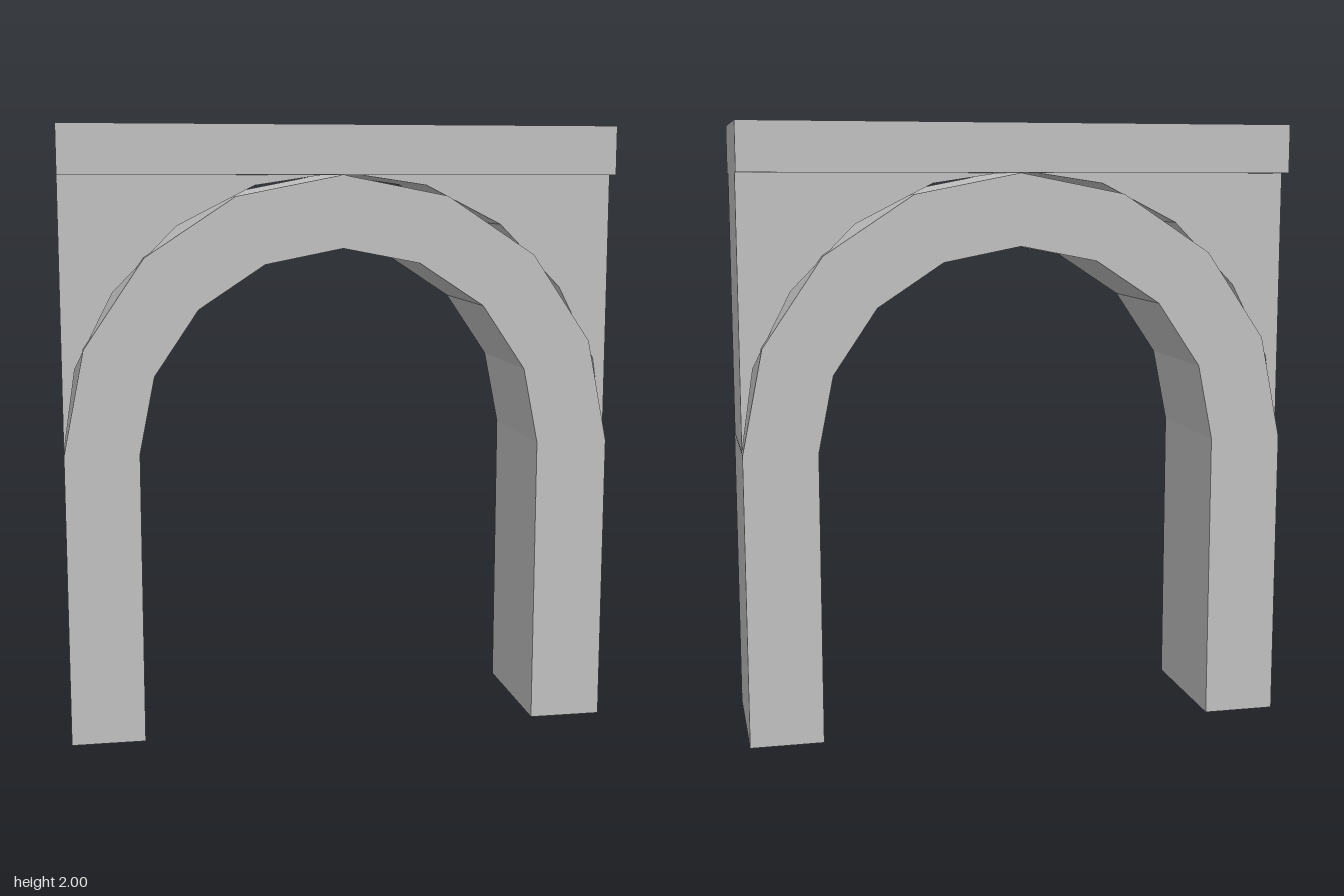
import * as THREE from 'three';

const stone = new THREE.MeshStandardMaterial({ color: 0xc0c0c0 });
stone.name = 'stone grey';

// Flat outline extruded evenly about z = 0
function slab(name, points, depth) {
  const shape = new THREE.Shape(points.map(([x, y]) => new THREE.Vector2(x, y)));
  const geometry = new THREE.ExtrudeGeometry(shape, { depth, bevelEnabled: false });
  geometry.translate(0, 0, -depth / 2);
  const mesh = new THREE.Mesh(geometry, stone);
  mesh.name = name;
  return mesh;
}

// Half-ellipse in eight straight facets, from +x to -x
function facetedCurve(rx, ry, springY) {
  const points = [];
  for (let i = 0; i <= 8; i++) {
    const a = (i / 8) * Math.PI;
    points.push([rx * Math.cos(a), springY + ry * Math.sin(a)]);
  }
  return points;
}

export function createModel() {
  const group = new THREE.Group();
  group.name = 'archway';
  const springY = 0.96;

  // Arch ring with its two legs
  const outer = facetedCurve(0.9, 0.883, springY);
  const inner = facetedCurve(0.66, 0.65, springY).reverse();
  group.add(slab('arch', [[0.9, 0], ...outer, [-0.9, 0], [-0.66, 0], ...inner, [0.66, 0]], 0.48));

  // Recessed corner fillings, leaving thin slits above the ring
  const corner = [[0.9, 0.965], [0.9, 1.843], [0.06, 1.843], [0.28, 1.81],
    [0.53, 1.683], [0.735, 1.476], [0.859, 1.235]];
  group.add(slab('leftSpandrel', corner, 0.415));
  group.add(slab('rightSpandrel', corner.map(([x, y]) => [-x, y]), 0.415));

  // Overhanging top slab
  const cap = new THREE.Mesh(new THREE.BoxGeometry(1.8, 0.157, 0.535), stone);
  cap.name = 'capSlab';
  cap.position.y = 2 - 0.157 / 2;
  group.add(cap);

  return group;
}
